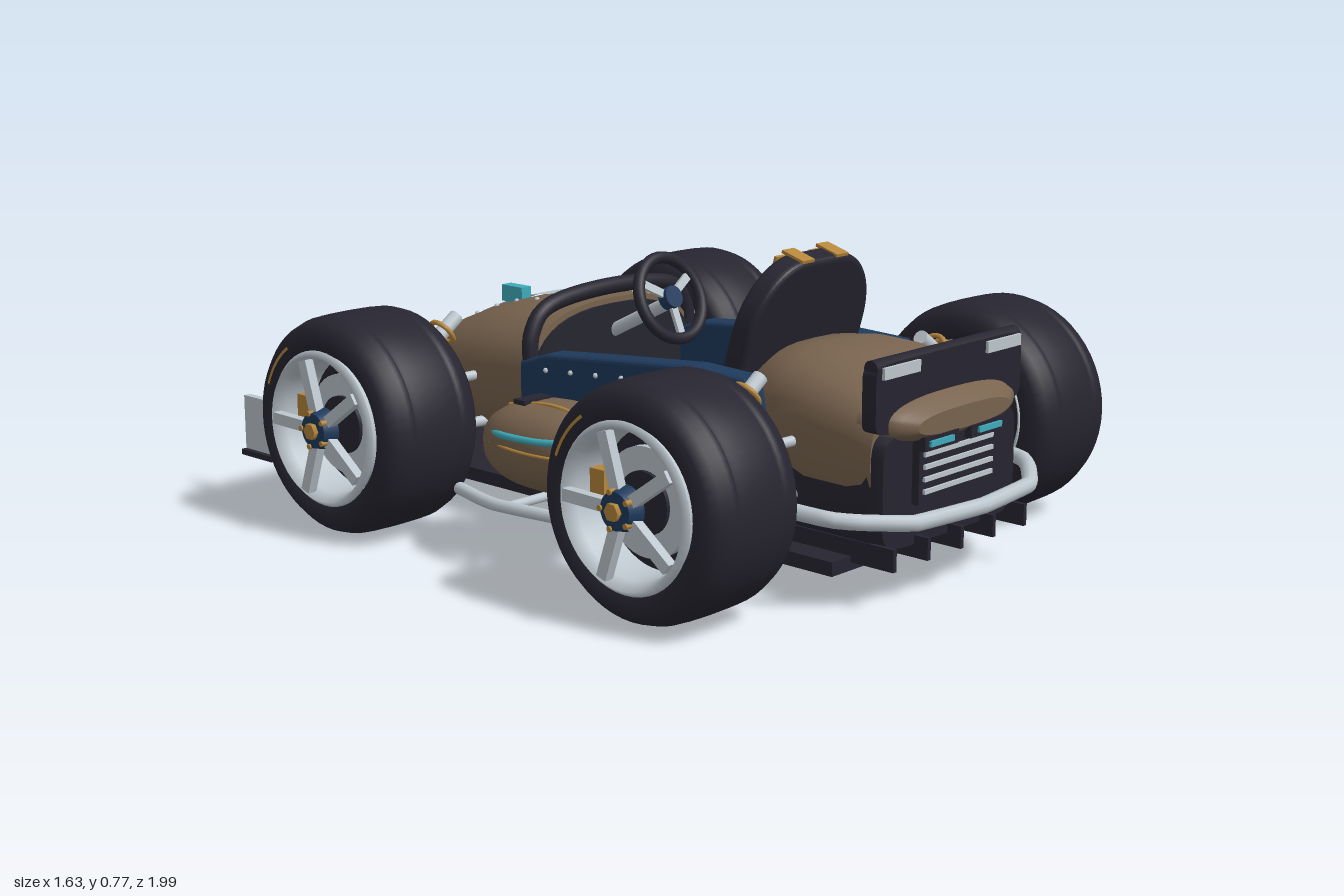
import * as THREE from 'three';

const mat = (name, color, side = THREE.FrontSide) => {
  const m = new THREE.MeshStandardMaterial({ color, side });
  m.name = name;
  return m;
};
const V = (x, y, z) => new THREE.Vector3(x, y, z);

export function createModel() {
  const root = new THREE.Group();
  const brown = mat('brown body', 0x78634e), dark = mat('dark rubber', 0x262530);
  const navy = mat('navy panel', 0x1f3a5c), silver = mat('silver metal', 0xbcc6cd, THREE.DoubleSide);
  const gold = mat('gold trim', 0xb5863c), teal = mat('teal accent', 0x3fabbb, THREE.DoubleSide);

  const add = (name, geo, m, parent = root, x = 0, y = 0, z = 0) => {
    const mesh = new THREE.Mesh(geo, m);
    mesh.name = name;
    mesh.position.set(x, y, z);
    parent.add(mesh);
    return mesh;
  };
  const box = (name, m, w, h, d, x, y, z, parent) => add(name, new THREE.BoxGeometry(w, h, d), m, parent, x, y, z);
  const tube = (name, m, pts, r, tension = 0.5, parent) => add(name, new THREE.TubeGeometry(
    new THREE.CatmullRomCurve3(pts.map(p => V(...p)), false, 'catmullrom', tension), 40, r, 10), m, parent);
  const rod = (name, m, a, b, r) => {
    const p = V(...a), d = V(...b).sub(p);
    const mesh = add(name, new THREE.CylinderGeometry(r, r, d.length(), 12), m);
    mesh.position.copy(p).addScaledVector(d, 0.5);
    mesh.quaternion.setFromUnitVectors(V(0, 1, 0), d.normalize());
    return mesh;
  };

  // Closed body through superellipse sections [z, halfWidth, bottom, top], z ascending
  const loft = (secs, n = 2.6, seg = 40) => {
    const pos = [], idx = [], pw = v => Math.sign(v) * Math.abs(v) ** (2 / n);
    const ring = ([z, w, b, t]) => {
      for (let j = 0; j < seg; j++) {
        const a = j / seg * Math.PI * 2;
        pos.push(w * pw(Math.cos(a)), (b + t) / 2 + (t - b) / 2 * pw(Math.sin(a)), z);
      }
    };
    secs.forEach(ring);
    for (let i = 0; i < secs.length - 1; i++) for (let j = 0; j < seg; j++) {
      const a = i * seg + j, b = i * seg + (j + 1) % seg;
      idx.push(a, b, a + seg, b, b + seg, a + seg);
    }
    const c0 = secs.length * seg, c1 = c0 + seg;
    ring(secs[0]);
    ring(secs[secs.length - 1]);
    for (let j = 1; j < seg - 1; j++) idx.push(c0, c0 + j + 1, c0 + j, c1, c1 + j, c1 + j + 1);
    const g = new THREE.BufferGeometry();
    g.setAttribute('position', new THREE.Float32BufferAttribute(pos, 3));
    g.setIndex(idx);
    g.computeVertexNormals();
    return g;
  };

  // Nose cowl
  const nose = [[-.965, .06, .2, .27], [-.95, .1, .19, .295], [-.9, .145, .18, .335], [-.85, .185, .17, .375], [-.78, .235, .16, .42],
    [-.7, .265, .15, .46], [-.6, .288, .15, .5], [-.5, .303, .15, .53], [-.38, .315, .15, .55], [-.24, .315, .15, .555]];
  add('noseCowl', loft(nose), brown);
  add('cockpitBulkhead', loft([[-.24, .3, .16, .54], [-.23, .3, .16, .54]]), dark);
  const noseTop = (x, z) => {
    let i = 0;
    while (i < nose.length - 2 && nose[i + 1][0] < z) i++;
    const k = (z - nose[i][0]) / (nose[i + 1][0] - nose[i][0]);
    const [, w, b, t] = nose[i].map((v, c) => v + (nose[i + 1][c] - v) * k);
    return (b + t) / 2 + (t - b) / 2 * Math.max(0, 1 - Math.abs(x / w) ** 2.6) ** (1 / 2.6);
  };
  const stripe = new THREE.PlaneGeometry(1, 1, 6, 24), sp = stripe.attributes.position;
  for (let i = 0; i < sp.count; i++) {
    const k = sp.getY(i) + .5, x = sp.getX(i) * (.125 - .055 * k), z = -.32 - .61 * k;
    sp.setXYZ(i, x, noseTop(x, z) + .006, z);
  }
  stripe.computeVertexNormals();
  add('noseStripe', stripe, silver);
  box('noseFin', teal, .035, .045, .08, -.045, noseTop(.04, -.57) + .02, -.57);

  // Engine cover and tail panel
  add('engineCover', loft([[.4, .2, .2, .5], [.46, .235, .18, .545], [.55, .265, .17, .555], [.65, .275, .17, .55],
    [.78, .275, .17, .52], [.85, .27, .18, .49]], 3), brown);
  add('tailDome', loft([[.8, .26, .36, .505], [.86, .245, .37, .49], [.9, .225, .38, .475], [.92, .18, .395, .45]], 2.6), brown);
  add('tailPanel', loft([[.45, .265, .12, .42], [.84, .27, .12, .42], [.88, .26, .13, .41]], 7), dark);
  box('grilleFrame', dark, .3, .16, .03, 0, .31, .885);
  for (let i = 0; i < 4; i++) box('grilleSlat', silver, .27, .011, .03, 0, .26 + i * .03, .892);
  add('rearWing', loft([[.835, .285, .41, .58], [.875, .285, .41, .58]], 9), dark);
  const rail = add('rearWingEdge', new THREE.CylinderGeometry(.02, .02, .56, 12), dark, root, 0, .57, .855);
  rail.rotation.z = Math.PI / 2;

  // Floor, diffuser and cockpit
  box('floorPlate', dark, .67, .035, 1.59, 0, .095, 0);
  for (const x of [-.26, -.13, 0, .13, .26]) box('diffuserFin', dark, .012, .055, .92, x, .125, .46);
  box('cockpitFloor', dark, .58, .08, .8, 0, .17, .12);
  const side = new THREE.Shape([[-.25, .2], [-.2, .15], [.5, .15], [.56, .2], [.5, .49], [.34, .495], [.05, .47], [-.16, .45], [-.25, .42]]
    .map(p => new THREE.Vector2(-p[0], p[1])));
  const sideGeo = new THREE.ExtrudeGeometry(side, { depth: .05, bevelSize: .012, bevelThickness: .012, bevelSegments: 3 });
  sideGeo.rotateY(Math.PI / 2);
  tube('cowlHoop', dark, [[-.3, .41, -.245], [-.29, .5, -.25], [-.22, .565, -.25], [0, .585, -.25],
    [.22, .565, -.25], [.29, .5, -.25], [.3, .41, -.245]], .022);

  // Seat
  add('seatCushion', new THREE.CylinderGeometry(.175, .185, .08, 40), navy, root, 0, .25, .18);
  add('cushionPiping', new THREE.TorusGeometry(.18, .008, 8, 40), gold, root, 0, .29, .18).rotation.x = Math.PI / 2;
  const seat = new THREE.Group();
  seat.name = 'seatBack';
  seat.position.set(0, .29, .305);
  seat.rotation.x = .29;
  root.add(seat);
  const back = new THREE.Shape();
  back.moveTo(-.17, 0);
  back.lineTo(.17, 0);
  back.bezierCurveTo(.2, .05, .21, .15, .21, .29);
  back.bezierCurveTo(.21, .4, .14, .475, .06, .475);
  back.lineTo(-.06, .475);
  back.bezierCurveTo(-.14, .475, -.21, .4, -.21, .29);
  back.bezierCurveTo(-.21, .15, -.2, .05, -.17, 0);
  add('seatShell', new THREE.ExtrudeGeometry(back, { depth: .035, bevelSize: .015, bevelThickness: .015, bevelSegments: 4, curveSegments: 20 }), dark, seat);
  const pad = add('seatPad', new THREE.SphereGeometry(1, 32, 20), navy, seat, 0, .27, -.008);
  pad.scale.set(.185, .2, .03);
  const pipe = add('padPiping', new THREE.TorusGeometry(.18, .007, 8, 40), gold, seat, 0, .27, -.017);
  pipe.scale.y = 1.08;

  // Steering wheel
  const steer = new THREE.Group();
  steer.name = 'steeringWheel';
  steer.position.set(0, .58, -.03);
  steer.rotation.x = -.4;
  root.add(steer);
  add('steeringRim', new THREE.TorusGeometry(.11, .016, 10, 40), dark, steer);
  for (const a of [0, 2.09, 4.19]) {
    const s = box('steeringSpoke', silver, .022, .1, .01, Math.sin(a) * .055, -Math.cos(a) * .055, 0, steer);
    s.rotation.z = a;
  }
  add('steeringHub', new THREE.CylinderGeometry(.03, .03, .03, 20), navy, steer).rotation.x = Math.PI / 2;
  rod('steeringColumn', silver, [0, .57, -.03], [0, .46, -.25], .018);

  // Bumper
  tube('rearBumper', silver, [[-.41, .24, .61], [-.38, .23, .82], [-.34, .225, .87], [-.23, .215, .95], [0, .215, .978],
    [.23, .215, .95], [.34, .225, .87], [.38, .23, .82], [.41, .24, .61]], .02, .1);

  // Front wing blade, slightly swept
  const blade = new THREE.Shape([[-.65, .965], [0, .99], [.65, .965], [.65, .88], [.28, .85], [-.28, .85], [-.65, .88]]
    .map(p => new THREE.Vector2(...p)));
  const bladeGeo = new THREE.ExtrudeGeometry(blade, { depth: .025, bevelEnabled: false });
  bladeGeo.rotateX(-Math.PI / 2);
  add('frontWing', bladeGeo, navy, root, 0, .16, 0);
  box('wingNosePad', dark, .16, .02, .012, 0, .19, -.985);

  // Tyre and rim profiles, wheel axis along local y
  const half = [[.19, -.13], [.215, -.15], [.25, -.148], [.272, -.125], [.282, -.095], [.283, -.078], [.277, -.072], [.284, -.066], [.285, -.01]];
  const P = a => a.map(p => new THREE.Vector2(...p));
  const tyreGeo = new THREE.LatheGeometry(P([...half, ...half.map(([r, y]) => [r, -y]).reverse()]), 56);
  const rimGeo = new THREE.LatheGeometry(P([[.192, -.14], [.175, -.12], [.165, 0], [.172, .13], [.188, .165], [.202, .15]]), 48);
  const wheel = (s, z) => {
    const g = new THREE.Group();
    g.name = 'wheel';
    g.position.set(s * .62, .285, z);
    g.rotation.z = -s * Math.PI / 2;
    root.add(g);
    add('tyre', tyreGeo, dark, g);
    add('rim', rimGeo, silver, g);
    add('wheelBack', new THREE.CylinderGeometry(.17, .17, .02, 40), dark, g, 0, .03, 0);
    add('brakeDisc', new THREE.CylinderGeometry(.13, .13, .02, 40), silver, g, 0, .07, 0);
    add('brakeBell', new THREE.CylinderGeometry(.075, .075, .03, 32), dark, g, 0, .075, 0);
    box('brakeCaliper', gold, .07, .04, .045, -s * .03, .1, -.115, g);
    for (let i = 0; i < 5; i++) {
      const arm = new THREE.Group();
      arm.name = 'spoke';
      arm.rotation.y = i * Math.PI * .4 + .3;
      g.add(arm);
      box('spokeBar', silver, .15, .025, .03, .105, .155, 0, arm);
      add('wheelNut', new THREE.CylinderGeometry(.007, .007, .02, 8), gold, arm, .045, .175, 0);
    }
    add('hub', new THREE.CylinderGeometry(.045, .055, .04, 24), navy, g, 0, .16, 0);
    add('hubNut', new THREE.CylinderGeometry(.022, .022, .03, 6), gold, g, 0, .178, 0);
    const arc = add('tyreMark', new THREE.RingGeometry(.228, .236, 16, 1, 0, .6), gold, g, 0, .151, 0);
    arc.rotation.set(-Math.PI / 2, 0, s > 0 ? 1.9 : .6);
  };

  for (const s of [1, -1]) {
    // Tub side and rivets
    add('tubSide', sideGeo, navy, root, s * .29 - .025, 0, 0);
    for (let i = 0; i < 6; i++) add('rivet', new THREE.SphereGeometry(.007, 8, 6), silver, root, s * .328, .42 + i * .007, -.16 + i * .09);
    for (let i = 0; i < 4; i++) {
      const z = -.43 - i * .08;
      add('noseRivet', new THREE.SphereGeometry(.007, 8, 6), silver, root, s * .1, noseTop(.1, z), z);
    }

    // Side pod with trim
    const pod = [];
    for (let i = 0; i <= 20; i++) {
      const t = -Math.cos(i / 20 * Math.PI), k = Math.max(.02, (1 - Math.abs(t) ** 2.6) ** (1 / 2.4));
      pod.push([.035 + t * .215, .135 * (.15 + .85 * k) * (i % 20 ? 1 : .3), .28 - .11 * k, .28 + .11 * k]);
    }
    add('sidePod', loft(pod, 2.5), brown, root, s * .465, 0, 0);
    tube('podStripe', teal, [[s * .57, .335, .2], [s * .596, .325, .1], [s * .596, .32, -.02], [s * .57, .315, -.1]], .009);
    tube('podLine', gold, [[s * .575, .29, .2], [s * .601, .29, .1], [s * .601, .29, 0], [s * .58, .29, -.1]], .004);
    tube('podTopLine', gold, [[s * .5, .37, -.11], [s * .5, .388, 0], [s * .5, .388, .08], [s * .5, .372, .17]], .005);
    box('podIntake', dark, .09, .012, .04, s * .48, .388, -.05);
    tube('sideBar', silver, [[s * .63, .17, -.16], [s * .655, .165, -.03], [s * .655, .165, .05], [s * .632, .165, .23]], .016);
    rod('sideBarMount', silver, [s * .32, .165, .04], [s * .65, .165, .04], .012);

    // Wheels and suspension
    for (const z of [-.52, .55]) {
      wheel(s, z);
      rod('axle', silver, [s * .25, .285, z], [s * .66, .285, z], .018);
      for (const d of [-.07, .07]) {
        rod('lowerArm', silver, [s * .26, .23, z + d], [s * .5, .23, z + d * .4], .014);
        rod('upperArm', silver, [s * .26, .36, z + d], [s * .5, .35, z + d * .4], .013);
      }
      const a = V(s * .31, .51, z), b = V(s * .48, .39, z), dir = b.clone().sub(a).normalize();
      rod('damper', silver, a.toArray(), b.toArray(), .02);
      for (let i = 0; i < 5; i++) {
        const coil = add('springCoil', new THREE.TorusGeometry(.036, .007, 8, 20), gold);
        coil.position.lerpVectors(a, b, .3 + i * .14);
        coil.quaternion.setFromUnitVectors(V(0, 0, 1), dir);
      }
    }

    // Front wing details
    box('endPlate', silver, .02, .15, .13, s * .655, .205, -.925);
    box('endPlateFoot', dark, .05, .015, .13, s * .655, .125, -.925);
    box('wingFlap', silver, .34, .012, .075, s * .46, .215, -.88).rotation.x = -.25;
    tube('wingEdge', teal, [[s * .17, .19, -.982], [s * .4, .19, -.974], [s * .63, .19, -.966]], .009);
    rod('wingMount', silver, [s * .12, .17, -.93], [s * .12, .25, -.91], .022);
    add('wingMountCap', new THREE.SphereGeometry(.026, 14, 10), silver, root, s * .12, .25, -.92);
    tube('noseLip', dark, [[s * .26, .4, -.76], [s * .19, .36, -.86], [s * .12, .3, -.94]], .016);
    tube('noseLipTrim', teal, [[s * .255, .415, -.76], [s * .185, .375, -.865], [s * .11, .315, -.945]], .009);

    // Tail details and harness
    box('tailLampHousing', dark, .13, .035, .03, s * .09, .38, .905);
    box('tailLamp', teal, .09, .014, .008, s * .095, .38, .923);
    box('rearWingPlate', silver, .135, .028, .008, s * .2, .56, .882);
    box('harnessStrap', gold, .045, .34, .008, s * .065, .3, -.037, seat);
    box('harnessTop', gold, .045, .008, .07, s * .065, .49, .012, seat);
    box('harnessBuckle', silver, .05, .03, .009, s * .065, .2, -.042, seat);
  }
  return root;
}
